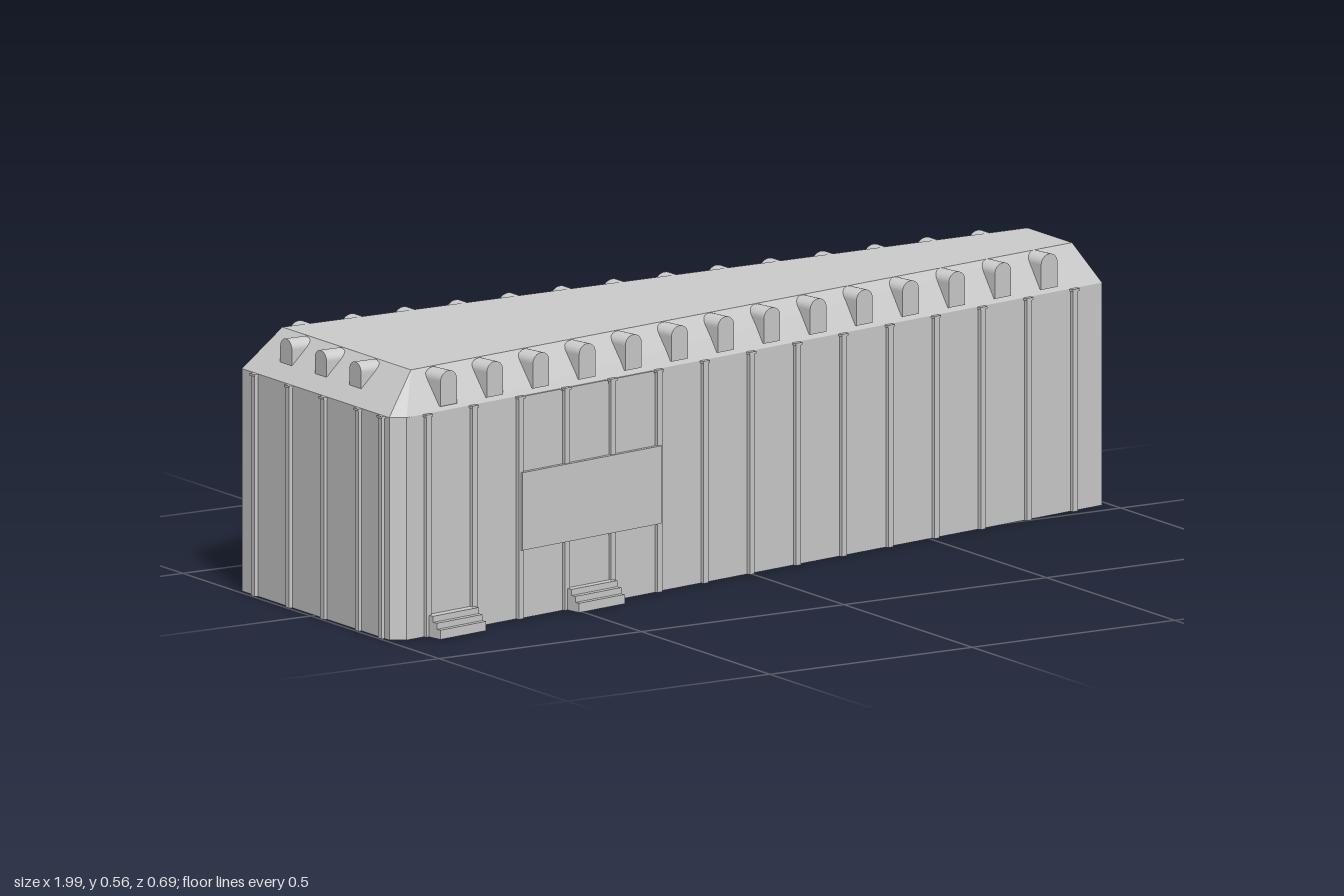
import * as THREE from 'three';

const EAVE = 0.475, TOP = 0.558;
const grey = new THREE.MeshStandardMaterial({ color: 0xcccccc, flatShading: true });
const thin = new THREE.MeshStandardMaterial({ color: 0xcccccc, flatShading: true, side: THREE.DoubleSide });

// plan outlines as [x, z], running counter-clockwise seen from above
const base = [[-0.96, 0.31], [0.982, -0.045], [0.982, -0.3], [-0.96, -0.3], [-0.99, -0.285], [-0.99, 0.29]];
const ridge = [[-0.905, 0.24], [0.935, -0.088], [0.935, -0.262], [-0.905, -0.262], [-0.905, -0.262], [-0.905, 0.24]];

function add(parent, name, geometry, x = 0, y = 0, z = 0, material = grey) {
  const mesh = new THREE.Mesh(geometry, material);
  mesh.name = name;
  mesh.position.set(x, y, z);
  parent.add(mesh);
  return mesh;
}

// band of quads between two outlines
function loft(a, ya, b, yb) {
  const v = [];
  a.forEach((p, i) => {
    const j = (i + 1) % a.length;
    const A = [p[0], ya, p[1]], B = [a[j][0], ya, a[j][1]];
    const C = [b[j][0], yb, b[j][1]], D = [b[i][0], yb, b[i][1]];
    v.push(...A, ...B, ...C, ...A, ...C, ...D);
  });
  const g = new THREE.BufferGeometry();
  g.setAttribute('position', new THREE.Float32BufferAttribute(v, 3));
  g.computeVertexNormals();
  return g;
}

// group whose x runs along a wall and whose z points out of it
function wallFrame(parent, name, p, q) {
  const g = new THREE.Group();
  g.name = name;
  g.position.set(p[0], 0, p[1]);
  g.rotation.y = Math.atan2(p[1] - q[1], q[0] - p[0]);
  parent.add(g);
  return g;
}

function pilaster(wall, t) {
  add(wall, 'pilaster', new THREE.BoxGeometry(0.014, EAVE, 0.012), t, EAVE / 2, 0.002);
  add(wall, 'pilasterCap', new THREE.BoxGeometry(0.019, 0.005, 0.014), t, EAVE - 0.0025, 0.003);
}

// round-headed dormer, extruded back into the roof
function dormer(wall, t, bottom, face) {
  const w = 0.023, spring = TOP - 0.02;
  const s = new THREE.Shape();
  s.moveTo(-w, bottom);
  s.lineTo(w, bottom);
  s.lineTo(w, spring);
  s.absellipse(0, spring, w, 0.02, 0, Math.PI, false);
  s.closePath();
  const g = new THREE.ExtrudeGeometry(s, { depth: 0.05, bevelEnabled: false, curveSegments: 8 });
  add(wall, 'dormer', g, t, 0, face - 0.05);
}

// window panel with rounded corners
function windowPanel(wall, t, y, w, h) {
  const r = 0.01, x = w / 2;
  const s = new THREE.Shape();
  s.moveTo(-x, 0);
  s.lineTo(x, 0);
  s.lineTo(x, h - r);
  s.quadraticCurveTo(x, h, x - r, h);
  s.lineTo(-x + r, h);
  s.quadraticCurveTo(-x, h, -x, h - r);
  s.closePath();
  add(wall, 'windowPanel', new THREE.ExtrudeGeometry(s, { depth: 0.003, bevelEnabled: false, curveSegments: 4 }), t, y, 0);
}

function steps(wall, t) {
  [[0.043, 0.02], [0.032, 0.033], [0.02, 0.046]].forEach(([out, h]) =>
    add(wall, 'entranceStep', new THREE.BoxGeometry(0.13, h, out), t, h / 2, out / 2));
}

export function createModel() {
  const model = new THREE.Group();
  model.name = 'building';

  // open-bottomed shell and hipped flat roof
  add(model, 'walls', loft(base, 0, base, EAVE), 0, 0, 0, thin);
  add(model, 'roofSlopes', loft(base, EAVE, ridge, TOP), 0, 0, 0, thin);
  const flat = new THREE.Shape(ridge.slice(0, 4).map(([x, z]) => new THREE.Vector2(x, -z)));
  add(model, 'roofTop', new THREE.ShapeGeometry(flat).rotateX(-Math.PI / 2), 0, TOP, 0, thin);

  // long sides share one rhythm of bays along x
  const front = wallFrame(model, 'frontWall', base[0], base[1]);
  const back = wallFrame(model, 'backWall', base[2], base[3]);
  const slant = Math.cos(front.rotation.y);
  const sides = [
    [front, x => (x - base[0][0]) / slant],
    [back, x => base[2][0] - x],
  ];
  const bay = 0.129, first = -0.905;
  for (const [wall, along] of sides) {
    for (let i = 0; i < 15; i++) pilaster(wall, along(first + i * bay));
    for (let i = 0; i < 14; i++) dormer(wall, along(first + (i + 0.5) * bay), 0.484, -0.002);
    for (let i = 2; i < 5; i++) {
      const t = along(first + (i + 0.5) * bay);
      windowPanel(wall, t, 0, 0.113, 0.15);
      windowPanel(wall, t, 0.313, 0.113, 0.16);
    }
    add(wall, 'signBand', new THREE.BoxGeometry(0.395, 0.166, 0.012), along(-0.4535), 0.23, 0.006);
    steps(wall, along(first + 0.5 * bay));
    steps(wall, along(first + 3.5 * bay));
  }

  // wide end
  const wide = wallFrame(model, 'wideEndWall', base[4], base[5]);
  for (const z of [-0.23, -0.095, 0.04, 0.175, 0.265]) pilaster(wide, z - base[4][1]);
  for (const z of [-0.16, -0.025, 0.11]) dormer(wide, z - base[4][1], 0.5, -0.03);

  // narrow end
  const narrow = wallFrame(model, 'narrowEndWall', base[1], base[2]);
  for (const z of [-0.107, -0.247]) pilaster(narrow, base[1][1] - z);

  return model;
}
